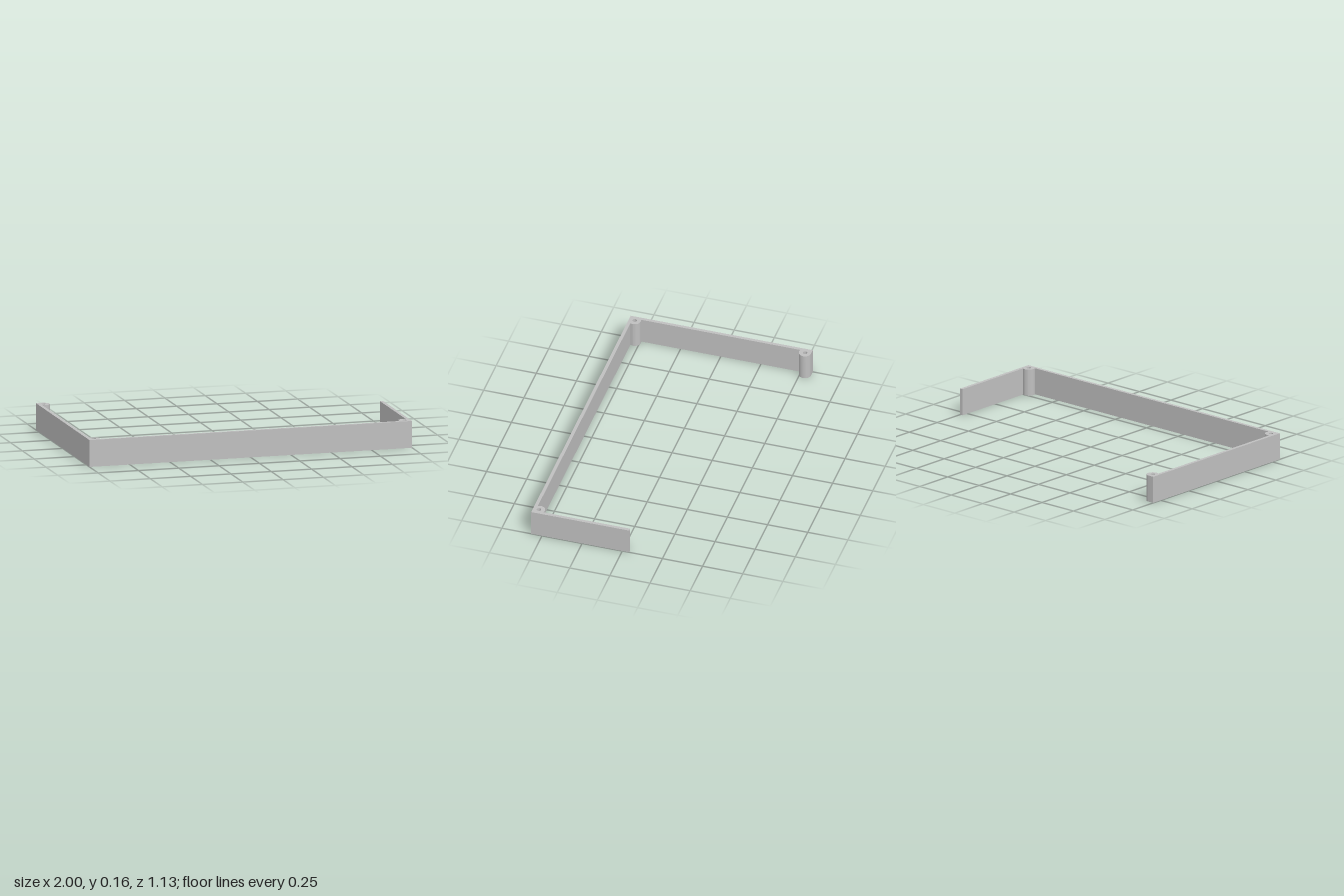
import * as THREE from 'three';
import { toCreasedNormals } from 'three/addons/utils/BufferGeometryUtils.js';

const HEIGHT = 0.163;
const X = 1, Z = 0.567;        // outer half sizes
const WALL = 0.02;
const R = 0.037, HOLE = 0.0135; // screw posts
const SHORT_END = 0.043;       // where the short left wall stops

export function createModel() {
  const group = new THREE.Group();
  group.name = 'cornerFrame';
  const grey = new THREE.MeshStandardMaterial({ color: 0xbfbfbf });
  grey.name = 'grey';

  // Post centres, tangent to the outer faces (plan y = -z)
  const cx = X - R, cy = Z - R;
  const a = Math.acos((R - WALL) / R); // where a post's arc meets a wall
  const PI = Math.PI;

  // Plan outline: three thin walls with rounded posts in the corners
  const plan = new THREE.Shape();
  plan.moveTo(-X, -Z);
  plan.lineTo(X, -Z);
  plan.lineTo(X, SHORT_END);
  plan.lineTo(X - WALL, SHORT_END);
  plan.absarc(cx, -cy, R, a, 1.5 * PI - a, false);        // front left post
  plan.absarc(-cx, -cy, R, a - PI / 2, PI - a, false);    // front right post
  plan.absarc(-cx, cy, R, PI + a, 2.5 * PI, false);       // back right post
  plan.lineTo(-X, Z);
  plan.closePath();

  // Screw holes through the posts
  for (const [x, y] of [[cx, -cy], [-cx, -cy], [-cx, cy]]) {
    const hole = new THREE.Path();
    hole.absarc(x, y, HOLE, 0, 2 * PI, true);
    plan.holes.push(hole);
  }

  const extruded = new THREE.ExtrudeGeometry(plan, {
    depth: HEIGHT, bevelEnabled: false, curveSegments: 24,
  });
  extruded.rotateX(-PI / 2);
  const frame = new THREE.Mesh(toCreasedNormals(extruded, 0.6), grey);
  frame.name = 'wallsWithPosts';
  group.add(frame);
  return group;
}
